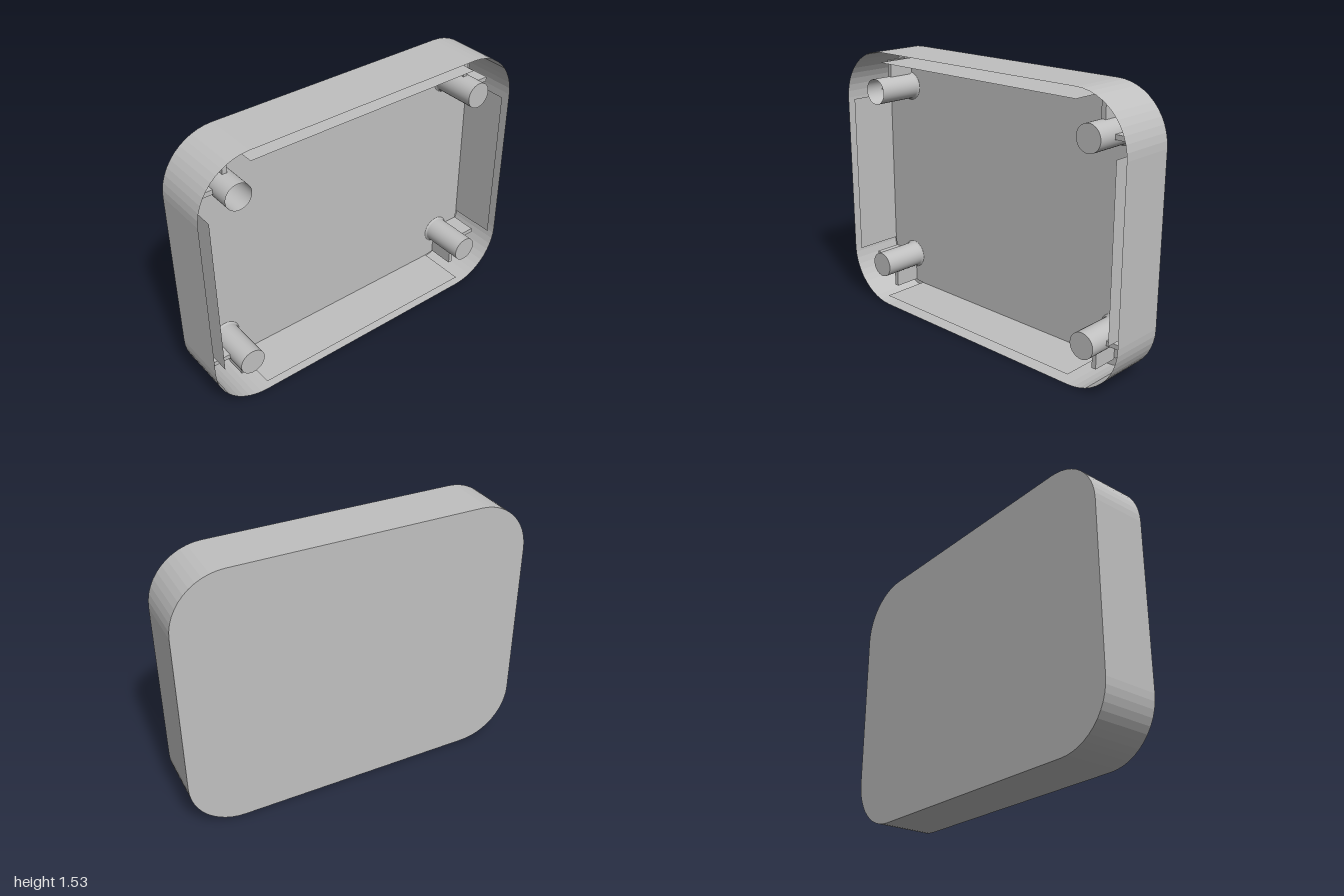
import * as THREE from 'three';

const FRONT = 0.16, BACK = -0.16, FLOOR = -0.12;
const CX = 0.7, CY = 0.465, MID = 0.765; // corner arc centres and mid height

// Rounded rectangle outline, counter-clockwise, sharing the same corner centres
function outline(r, steps = 12) {
  const pts = [];
  [[1, 1], [-1, 1], [-1, -1], [1, -1]].forEach(([sx, sy], k) => {
    for (let i = 0; i <= steps; i++) {
      const a = (k + i / steps) * Math.PI / 2;
      pts.push(new THREE.Vector2(sx * CX + r * Math.cos(a), MID + sy * CY + r * Math.sin(a)));
    }
  });
  return pts;
}

// Open strip of flat facets standing on a line of points
function strip(pts, z0, z1) {
  const v = [];
  for (let i = 0; i < pts.length - 1; i++) {
    const p = pts[i], q = pts[i + 1];
    v.push(p.x, p.y, z0, q.x, q.y, z0, q.x, q.y, z1);
    v.push(p.x, p.y, z0, q.x, q.y, z1, p.x, p.y, z1);
  }
  const g = new THREE.BufferGeometry();
  g.setAttribute('position', new THREE.Float32BufferAttribute(v, 3));
  g.computeVertexNormals();
  return g;
}

export function createModel() {
  const model = new THREE.Group();
  model.name = 'enclosureCover';
  const grey = new THREE.MeshStandardMaterial({ color: 0xc0c0c0, side: THREE.DoubleSide });
  grey.name = 'lightGrey';

  function add(parent, name, geometry, x = 0, y = 0, z = 0) {
    const mesh = new THREE.Mesh(geometry, grey);
    mesh.name = name;
    mesh.position.set(x, y, z);
    parent.add(mesh);
    return mesh;
  }

  // Outer skin: side wall and back panel
  const outer = outline(0.3), inner = outline(0.243);
  add(model, 'outerWall', strip([...outer, outer[0]], BACK, FRONT));
  const back = new THREE.ShapeGeometry(new THREE.Shape(outer));
  back.rotateY(Math.PI); // the outline is symmetric, so this only turns it to face backwards
  add(model, 'backPanel', back, 0, 0, BACK);

  // Inner skin: floor and four straight wall panels, open at the corners and rim
  add(model, 'innerFloor', new THREE.ShapeGeometry(new THREE.Shape(inner)), 0, 0, FLOOR);
  for (let k = 0; k < 4; k++) {
    const end = inner[k * 13 + 12], next = inner[((k + 1) % 4) * 13];
    add(model, 'innerWall', strip([next, end], FLOOR, FRONT));
  }

  // Screw bosses, each tied to the walls by two ribs
  const R = 0.073, bossHeight = 0.265, ribTop = 0.035;
  const profile = [[0.083, 0], [0.077, 0.004], [R, 0.012], [R, bossHeight]]
    .map(([x, y]) => new THREE.Vector2(x, y));
  const ribDepth = ribTop - FLOOR, ribZ = (ribTop + FLOOR) / 2;
  for (const sx of [-1, 1]) {
    for (const sy of [-1, 1]) {
      const post = new THREE.Group();
      post.name = 'screwPost';
      const x = sx * 0.768, y = MID + sy * 0.53;
      const boss = new THREE.LatheGeometry(profile, 40);
      boss.rotateX(Math.PI / 2);
      add(post, 'boss', boss, x, y, FLOOR);
      // One post is left hollow
      if (!(sx < 0 && sy > 0)) {
        add(post, 'bossCap', new THREE.CircleGeometry(R, 40), x, y, FLOOR + bossHeight);
      }
      add(post, 'sideRib', new THREE.BoxGeometry(0.098, 0.026, ribDepth), sx * 0.888, y, ribZ);
      add(post, 'endRib', new THREE.BoxGeometry(0.026, 0.098, ribDepth), x, MID + sy * 0.65, ribZ);
      model.add(post);
    }
  }
  return model;
}
